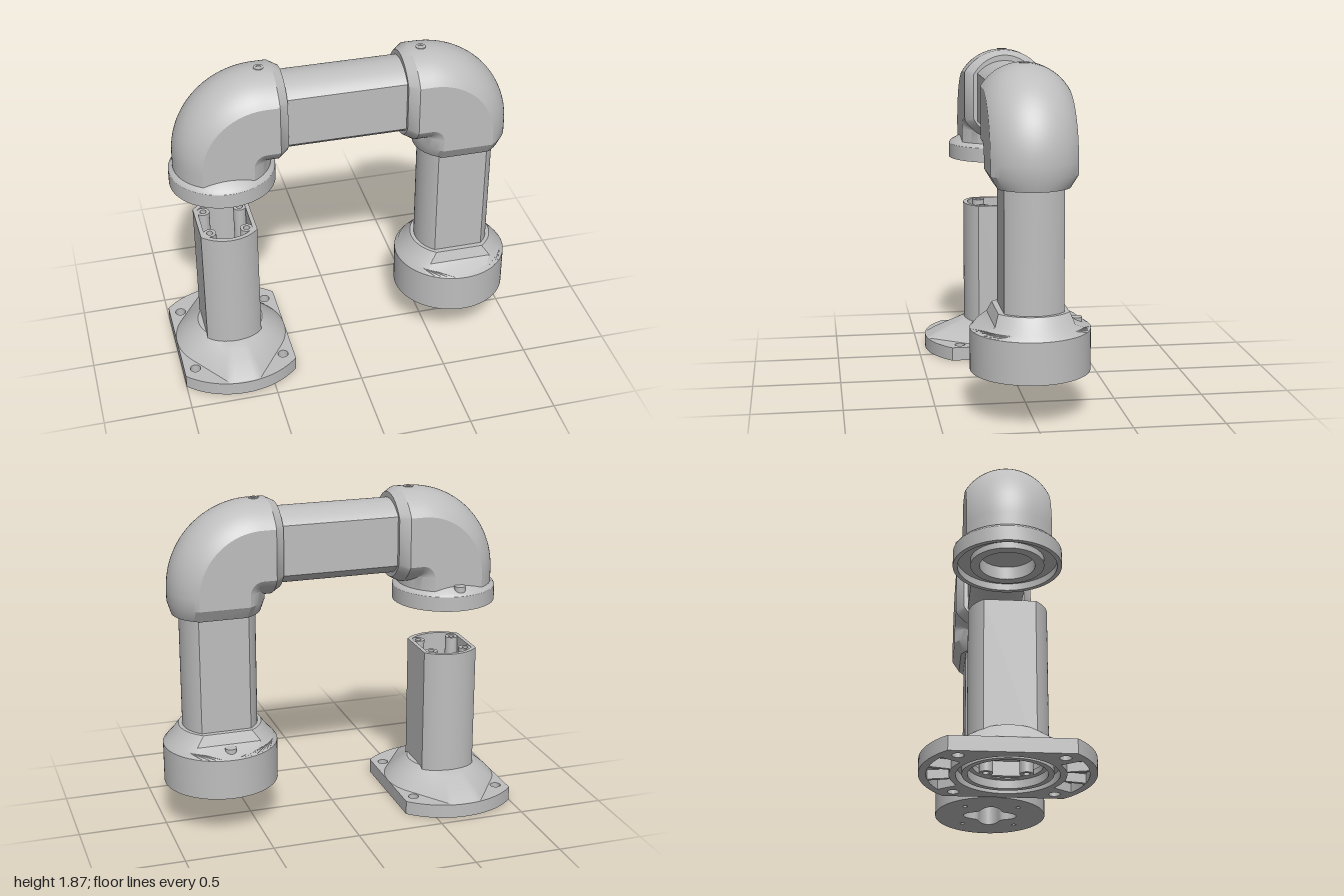
import * as THREE from 'three';
import { toCreasedNormals } from 'three/addons/utils/BufferGeometryUtils.js';

const V = (x, y, z) => new THREE.Vector3(x, y, z);

// Circle of radius r with two flats at v = +-w; points as [u, v]
function clipped(r, w, n = 24) {
  const a = Math.asin(Math.min(1, w / r)), pts = [];
  for (const mid of [0, Math.PI])
    for (let i = 0; i <= n; i++) {
      const t = mid - a + (2 * a * i) / n;
      pts.push([r * Math.cos(t), r * Math.sin(t)]);
    }
  return pts;
}

// Skin over rings of equal length, counter-clockwise about the travel direction
function loft(rings, caps = true) {
  const pos = [], n = rings[0].length;
  const tri = (...p) => p.forEach(q => pos.push(q.x, q.y, q.z));
  for (let k = 0; k + 1 < rings.length; k++)
    for (let i = 0; i < n; i++) {
      const j = (i + 1) % n, a = rings[k], b = rings[k + 1];
      tri(a[i], a[j], b[j]);
      tri(a[i], b[j], b[i]);
    }
  if (caps) [rings[0], rings[rings.length - 1]].forEach((r, end) => {
    const c = r.reduce((s, p) => s.add(p), V(0, 0, 0)).divideScalar(n);
    for (let i = 0; i < n; i++) {
      const j = (i + 1) % n;
      if (end) tri(c, r[i], r[j]); else tri(c, r[j], r[i]);
    }
  });
  const g = new THREE.BufferGeometry();
  g.setAttribute('position', new THREE.Float32BufferAttribute(pos, 3));
  return g;
}

const toPath = (pts, Type = THREE.Path) => new Type(pts.map(p => new THREE.Vector2(p[0], p[1])));
const disc = (x, y, r, Type = THREE.Path) => new Type().absarc(x, y, r, 0, Math.PI * 2);

// Plan shape extruded upward from y0 to y1
function rise(shape, y0, y1, holes = []) {
  shape.holes = holes;
  return new THREE.ExtrudeGeometry(shape, { depth: y1 - y0, bevelEnabled: false, curveSegments: 40 })
    .rotateX(-Math.PI / 2).translate(0, y0, 0);
}

// Sector-shaped pocket, angles in degrees
function sector(r0, r1, a0, a1) {
  const d = Math.PI / 180;
  const p = new THREE.Path();
  p.absarc(0, 0, r1, a0 * d, a1 * d, false);
  p.absarc(0, 0, r0, a1 * d, a0 * d, true);
  p.closePath();
  return p;
}

export function createModel() {
  const model = new THREE.Group();
  const grey = new THREE.MeshStandardMaterial({ color: 0xbebebe });
  grey.name = 'light grey';
  const add = (name, geo, x = 0, y = 0, z = 0, parent = model) => {
    const m = new THREE.Mesh(toCreasedNormals(geo, 0.5), grey);
    m.name = name;
    m.position.set(x, y, z);
    parent.add(m);
    return m;
  };
  const X = 0.675;

  // Mounting base
  const base = new THREE.Group();
  base.name = 'mountingBase';
  base.position.x = -X;
  model.add(base);
  const plan = () => toPath(clipped(0.455, 0.325).map(([u, v]) => [v, -u]), THREE.Shape);
  const bolts = () => [-1, 1].flatMap(a => [-1, 1].map(b => disc(a * 0.26, b * 0.265, 0.03)));
  const pockets = [90, 270].flatMap(m =>
    [[-33, -14], [-11, 11], [14, 33]].map(([a, b]) => sector(0.3, 0.415, m + a, m + b)));
  add('basePlateRibs', rise(plan(), 0, 0.05, [...bolts(), ...pockets, disc(0, 0, 0.265)]), 0, 0, 0, base);
  add('basePlate', rise(plan(), 0.05, 0.08, [...bolts(), disc(0, 0, 0.18)]), 0, 0, 0, base);
  add('baseRing', rise(disc(0, 0, 0.235, THREE.Shape), 0.005, 0.06, [disc(0, 0, 0.205)]), 0, 0, 0, base);

  // Sloping foot: round boss with ridges running to the front and back
  const footRadius = t => {
    const a = Math.acos(Math.min(1, Math.abs(Math.sin(t))));
    const corner = Math.atan2(0.085, 0.445);
    const touch = corner + Math.acos(0.325 / Math.hypot(0.085, 0.445));
    if (a < corner) return 0.445 / Math.cos(a);
    return a < touch ? 0.325 / Math.cos(touch - a) : 0.325;
  };
  const footRing = (y, k, r1 = 0.19) => Array.from({ length: 96 }, (_, i) => {
    const t = (i / 96) * Math.PI * 2, r = footRadius(t) * (1 - k) + r1 * k;
    return V(r * Math.cos(t), y, -r * Math.sin(t));
  });
  const footRings = [0, 0.25, 0.5, 0.75, 1].map(t => footRing(0.08 + 0.12 * t, Math.pow(t, 1.15)));
  footRings.push(footRing(0.2, 1, 0.15));
  add('foot', loft(footRings, false), 0, 0, 0, base);

  // Lower post: open profile with four screw channels
  const post = (r, w, Type) => toPath(clipped(r, w).map(([u, v]) => [v, -u]), Type);
  add('lowerPost', rise(post(0.21, 0.16, THREE.Shape), 0.05, 0.915, [post(0.185, 0.137)]), 0, 0, 0, base);
  add('postFloor', rise(post(0.2, 0.15, THREE.Shape), 0.13, 0.16), 0, 0, 0, base);
  for (const a of [-1, 1]) for (const b of [-1, 1])
    add('screwChannel', rise(disc(a * 0.105, b * 0.105, 0.036, THREE.Shape), 0.05, 0.912,
      [disc(a * 0.105, b * 0.105, 0.018)]), 0, 0, 0, base);

  // Elbow: flat-sided round section bent a quarter turn, mitred on the inside
  const R = 0.215, section = clipped(0.27, 0.23);
  const elbow = (s, foot) => {
    const ring = (phi, out = 0, su = 1, sv = 1) => section.map(([u, v]) => {
      const d = R + u * su, c = Math.cos(phi), n = Math.sin(phi);
      let x = d * c, y = d * n;
      if (d < 0 && out === 0) { x = d; y = d; }
      const ox = phi > 0 ? -out : 0, oy = phi > 0 ? 0 : -out;
      return V(s * (0.46 + x + ox), 1.385 + y + oy, -s * v * sv);
    });
    const rings = foot.map(f => ring(0, ...f));
    for (let i = 0; i <= 24; i++) rings.push(ring((i / 24) * Math.PI / 2));
    rings.push(ring(Math.PI / 2, 0.075), ring(Math.PI / 2, 0.127, 0.9, 0.8));
    return loft(rings);
  };
  add('swivelElbow', elbow(-1, [[0.105]]));
  add('fixedElbow', elbow(1, [[0.135, 0.92, 0.82], [0.065]]));

  // Set screws on top of the elbows
  for (const s of [-1, 1])
    add('setScrew', rise(disc(0, 0, 0.028, THREE.Shape), -0.01, 0.003, [disc(0, 0, 0.014)]), s * 0.45, 1.87, 0);

  // Swivel flange with a recessed underside
  const flange = [[0.15, 1.28], [0.15, 1.205], [0.2, 1.205], [0.2, 1.24], [0.27, 1.24], [0.27, 1.2],
    [0.295, 1.2], [0.295, 1.285], [0.285, 1.3], [0.21, 1.34]];
  add('swivelFlange', new THREE.LatheGeometry(flange.map(p => new THREE.Vector2(...p)), 64), -X);

  // Crossbar and hanging post
  const bar = clipped(0.213, 0.16);
  add('crossbar', loft([-0.38, 0.38].map(x => bar.map(([u, v]) => V(x, 1.598 + u, v)))));
  add('hangingPost', loft([0.5, 1.3].map(y => bar.map(([u, v]) => V(0.67 + u, y, -v)))));

  // Round socket under the hanging post, with a keyed opening
  const key = Array.from({ length: 64 }, (_, i) => {
    const t = (i / 64) * Math.PI * 2, r = 0.13 + 0.028 * Math.cos(4 * t);
    return [r * Math.cos(t), r * Math.sin(t)];
  });
  const pins = [0, 1, 2, 3].map(i => {
    const t = Math.PI / 4 + (i * Math.PI) / 2;
    return disc(0.22 * Math.cos(t), 0.22 * Math.sin(t), 0.014);
  });
  add('socket', rise(disc(0, 0, 0.325, THREE.Shape), 0.25, 0.48, [toPath(key), ...pins]), 0.67);
  const collar = [[0.48, 0.325, 0.325], [0.505, 0.305, 0.265], [0.53, 0.28, 0.213], [0.59, 0.235, 0.19]];
  add('socketCollar', loft(collar.map(([y, r, w]) => clipped(r, w).map(([u, v]) => V(u, y, -v)))), 0.67);

  // Locking bosses at the back
  const boss = new THREE.CylinderGeometry(0.032, 0.032, 0.08, 24);
  add('flangeBoss', boss, -X, 1.295, -0.25);
  add('socketBoss', boss, 0.67, 0.485, -0.25);

  return model;
}
